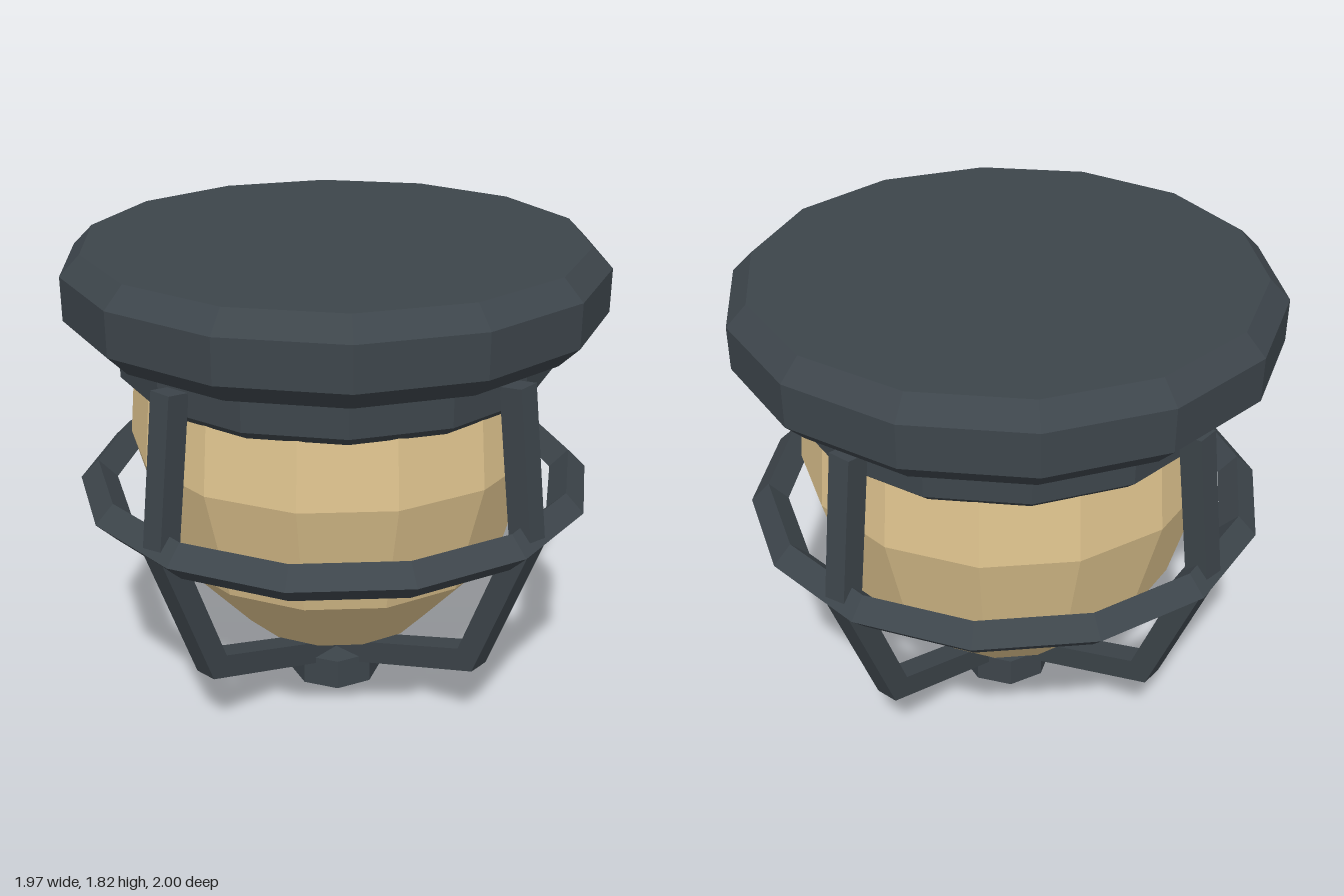
import * as THREE from 'three';

const SIDES = 14;
const V = (x, y) => new THREE.Vector2(x, y);

// Square bar swept along a path in the x-y plane, with mitred corners
function barGeometry(path, width) {
  const h = width / 2, pos = [], index = [];
  const normals = path.slice(1).map((p, i) => {
    const d = p.clone().sub(path[i]).normalize();
    return V(-d.y, d.x);
  });
  path.forEach((p, i) => {
    const a = normals[Math.max(i - 1, 0)], b = normals[Math.min(i, normals.length - 1)];
    const m = a.clone().add(b).normalize();
    m.multiplyScalar(h / m.dot(a));
    for (const [s, z] of [[1, h], [1, -h], [-1, -h], [-1, h]]) {
      pos.push(p.x + s * m.x, p.y + s * m.y, z);
    }
  });
  const quad = (a, b, c, d) => index.push(a, b, c, a, c, d);
  const last = (path.length - 1) * 4;
  for (let i = 0; i < last; i += 4) {
    for (let k = 0; k < 4; k++) {
      const n = (k + 1) % 4;
      quad(i + k, i + 4 + k, i + 4 + n, i + n);
    }
  }
  quad(0, 1, 2, 3);
  quad(last + 3, last + 2, last + 1, last);
  const g = new THREE.BufferGeometry();
  g.setAttribute('position', new THREE.Float32BufferAttribute(pos, 3));
  g.setIndex(index);
  const flat = g.toNonIndexed();
  flat.computeVertexNormals();
  return flat;
}

export function createModel() {
  const metal = new THREE.MeshStandardMaterial({ name: 'dark metal', color: 0x3d454b, flatShading: true });
  const glass = new THREE.MeshStandardMaterial({ name: 'warm glass', color: 0xdec38e, flatShading: true });
  const model = new THREE.Group();
  model.name = 'cagedLamp';

  const add = (name, geometry, material) => {
    const mesh = new THREE.Mesh(geometry, material);
    mesh.name = name;
    model.add(mesh);
    return mesh;
  };
  const lathe = (points) => new THREE.LatheGeometry(points.map(([r, y]) => V(r, y)), SIDES);

  // Mounting plate and collar, both with chamfered rims
  add('mountingPlate', lathe([[0, 1.51], [0.925, 1.51], [1, 1.585], [1, 1.745], [0.925, 1.82], [0, 1.82]]), metal);
  add('collar', lathe([[0, 1.32], [0.77, 1.32], [0.81, 1.355], [0.81, 1.47], [0.77, 1.515], [0, 1.515]]), metal);

  // Faceted glass globe
  add('globe', lathe([[0, 0.225], [0.38, 0.315], [0.66, 0.63], [0.78, 1.07], [0.75, 1.4]]).rotateY(Math.PI / 2), glass);

  // Guard ring with a diamond section
  add('guardRing', new THREE.TorusGeometry(0.915, 0.07, 4, SIDES).rotateX(Math.PI / 2).translate(0, 0.88, 0), metal);

  // Four bent cage bars on the diagonals
  const bar = barGeometry([V(0.83, 1.45), V(0.905, 0.88), V(0.69, 0.325), V(0, 0.09)], 0.09);
  for (let i = 0; i < 4; i++) {
    add('cageBar' + (i + 1), bar, metal).rotation.y = Math.PI / 4 + i * Math.PI / 2;
  }

  // Octagonal boss joining the bars
  add('bottomBoss', new THREE.CylinderGeometry(0.187, 0.187, 0.125, 8).translate(0, 0.0625, 0), metal);

  return model;
}
